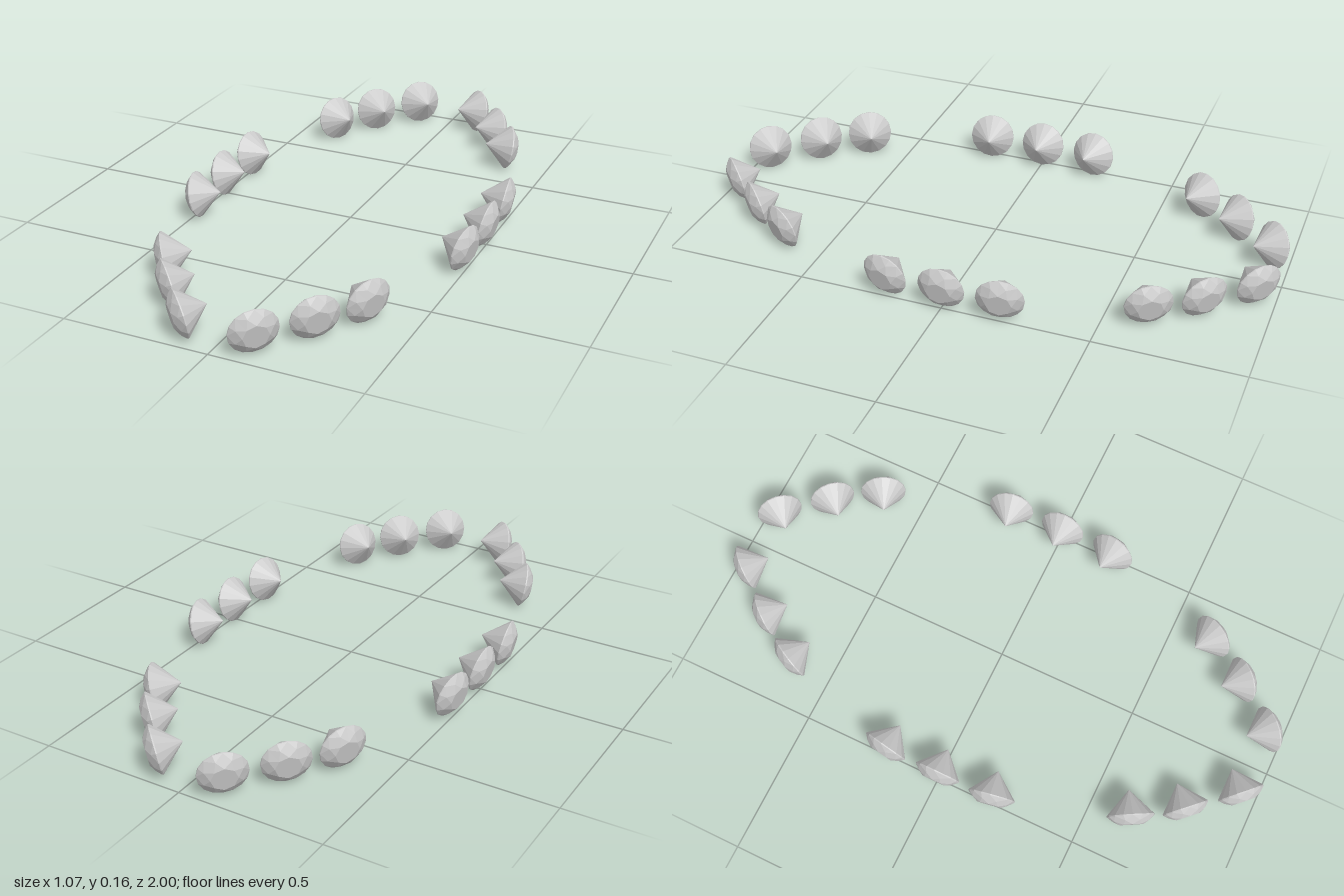
import * as THREE from 'three';

// Faceted round brilliant: axis along +y, girdle centre at the origin
function brilliantGeometry() {
  const ring = (n, r, y, offset = 0) =>
    Array.from({ length: n }, (_, i) => {
      const a = ((i + offset) / n) * Math.PI * 2;
      return new THREE.Vector3(r * Math.cos(a), y, -r * Math.sin(a));
    });
  const table = ring(8, 0.042, 0.032);
  const mid = ring(8, 0.064, 0.0195, 0.5);
  const girdleTop = ring(16, 0.08, 0.004);
  const girdleLow = ring(16, 0.08, 0);
  const top = new THREE.Vector3(0, 0.032, 0);
  const culet = new THREE.Vector3(0, -0.083, 0);

  const points = [];
  const tri = (a, b, c) => points.push(a, b, c);
  for (let i = 0; i < 8; i++) {
    const next = (i + 1) % 8, prev = (i + 7) % 8;
    const g0 = girdleTop[2 * i], g1 = girdleTop[2 * i + 1], g2 = girdleTop[2 * next];
    tri(top, table[i], table[next]); // table
    tri(table[i], mid[i], table[next]); // star facet
    tri(table[i], mid[prev], g0); // kite facet, two halves
    tri(table[i], g0, mid[i]);
    tri(mid[i], g0, g1); // upper girdle facets
    tri(mid[i], g1, g2);
  }
  for (let i = 0; i < 16; i++) {
    const j = (i + 1) % 16;
    tri(girdleTop[i], girdleLow[i], girdleLow[j]); // girdle band
    tri(girdleTop[i], girdleLow[j], girdleTop[j]);
    tri(culet, girdleLow[j], girdleLow[i]); // pavilion
  }
  const geometry = new THREE.BufferGeometry().setFromPoints(points);
  geometry.computeVertexNormals();
  return geometry;
}

export function createModel() {
  const model = new THREE.Group();
  model.name = 'gemRing';
  const geometry = brilliantGeometry();
  const material = new THREE.MeshStandardMaterial({ color: 0xcccccc, flatShading: true });
  const tilt = THREE.MathUtils.degToRad(11);

  // One quadrant of the oval: x, z and outward angle from the x axis in degrees
  const quadrant = [
    [0.121, 0.941, 45],
    [0.248, 0.795, 44],
    [0.35, 0.642, 29],
    [0.49, 0.198, 10],
    [0.496, 0, 0],
  ];
  for (const sx of [1, -1]) {
    for (const sz of [1, -1]) {
      for (const [x, z, degrees] of quadrant) {
        if (z === 0 && sz < 0) continue; // side gem lies on the mirror line
        const a = THREE.MathUtils.degToRad(degrees);
        const gem = new THREE.Mesh(geometry, material);
        gem.name = 'gem';
        gem.position.set(sx * x, 0.083, sz * z);
        // Table faces outward and slightly down
        gem.rotation.set(Math.PI / 2 + tilt, Math.atan2(sx * Math.cos(a), sz * Math.sin(a)), 0, 'YXZ');
        model.add(gem);
      }
    }
  }
  return model;
}
